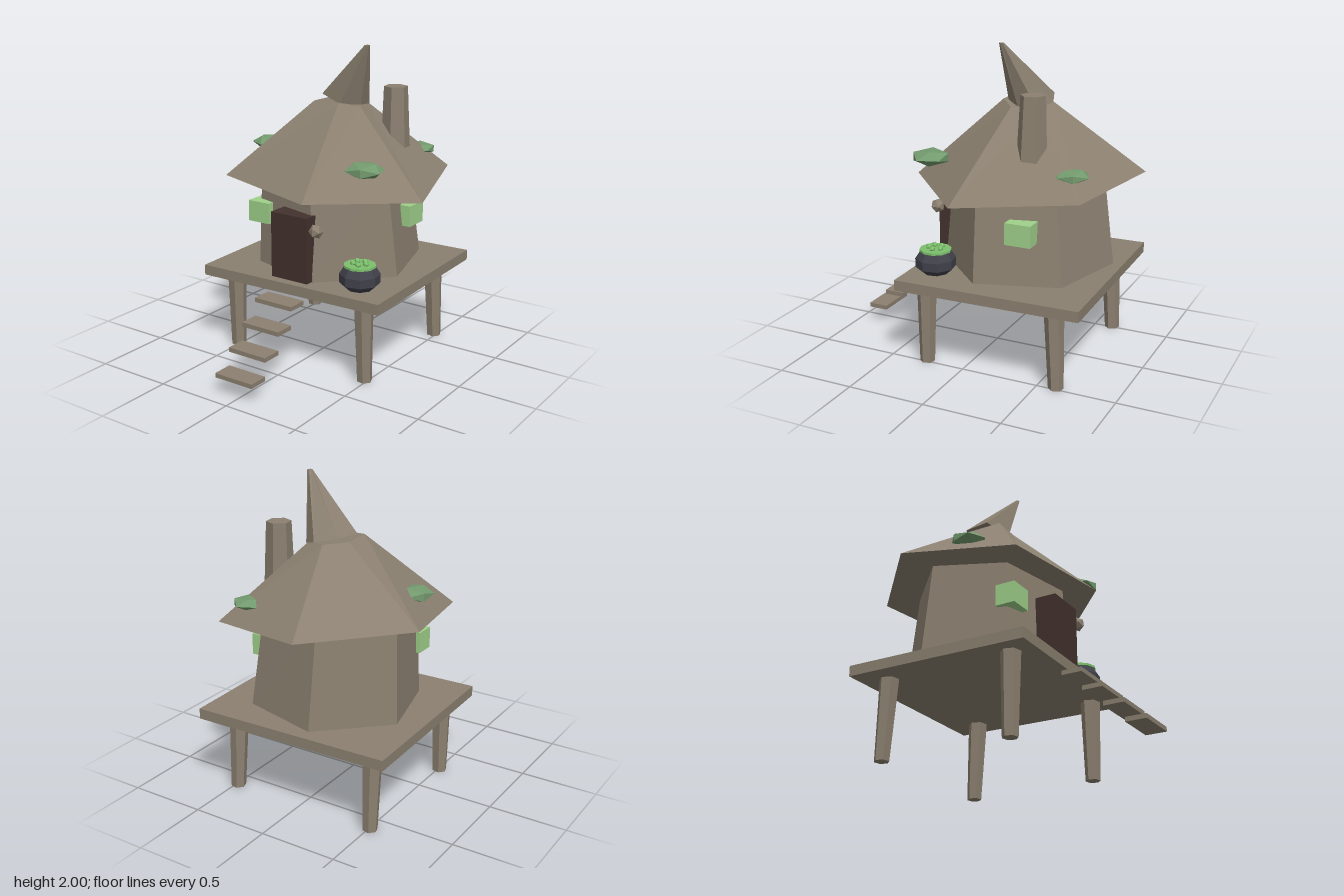
import * as THREE from 'three';

const mat = (name, color) => {
  const m = new THREE.MeshStandardMaterial({ color, flatShading: true });
  m.name = name;
  return m;
};

// Regular ring of points, clockwise from above; tilt raises y towards -z
function ring(cx, y, cz, r, turn = 0, sides = 6, tilt = 0) {
  const pts = [];
  for (let i = 0; i < sides; i++) {
    const a = turn + (i / sides) * Math.PI * 2;
    pts.push([cx + r * Math.cos(a), y - tilt * Math.sin(a), cz + r * Math.sin(a)]);
  }
  return pts;
}

// Faceted solid joining a stack of rings, closed at both ends
function loft(rings) {
  const out = [];
  const tri = (...ps) => ps.forEach((p) => out.push(...p));
  const n = rings[0].length;
  const centre = (r) => [0, 1, 2].map((k) => r.reduce((s, p) => s + p[k], 0) / n);
  const low = rings[0], high = rings[rings.length - 1];
  for (let i = 0; i < n; i++) {
    const j = (i + 1) % n;
    for (let k = 0; k < rings.length - 1; k++) {
      const b = rings[k], t = rings[k + 1];
      tri(b[i], t[i], b[j]);
      tri(t[i], t[j], b[j]);
    }
    tri(centre(low), low[i], low[j]);
    tri(centre(high), high[j], high[i]);
  }
  const g = new THREE.BufferGeometry();
  g.setAttribute('position', new THREE.Float32BufferAttribute(out, 3));
  g.computeVertexNormals();
  return g;
}

export function createModel() {
  const root = new THREE.Group();
  root.name = 'stiltHut';
  const wood = mat('weathered wood', 0x8b8070);
  const doorMat = mat('dark door wood', 0x43322d);
  const glow = mat('glowing window green', 0x9fd08a);
  const mossMat = mat('moss green', 0x739a6e);
  const iron = mat('cauldron iron', 0x40404a);
  const brewMat = mat('brew green', 0x7cc06c);

  const add = (name, geo, material, x = 0, y = 0, z = 0) => {
    const m = new THREE.Mesh(geo, material);
    m.name = name;
    m.position.set(x, y, z);
    root.add(m);
    return m;
  };
  const box = (name, material, x0, x1, y0, y1, z0, z1) =>
    add(name, new THREE.BoxGeometry(x1 - x0, y1 - y0, z1 - z0), material,
      (x0 + x1) / 2, (y0 + y1) / 2, (z0 + z1) / 2);

  // Platform, slightly crooked
  const deck = box('platform', wood, -0.663, 0.633, 0.508, 0.575, -0.783, 0.403);
  deck.rotation.set(0, 0.028, 0.004);

  // Stilts
  for (const [tx, bx] of [[-0.51, -0.51], [0.472, 0.482]]) {
    for (const [tz, bz] of [[0.258, 0.257], [-0.592, -0.617]]) {
      add('leg', loft([ring(bx, 0, bz, 0.047, 0.2), ring(tx, 0.52, tz, 0.062, 0.2)]), wood);
    }
  }

  // Floating steps
  for (let i = 0; i < 4; i++) {
    const y = 0.118 + i * 0.118, z = 0.845 - i * 0.13;
    box('step', wood, -0.155, 0.12, y - 0.014, y + 0.014, z - 0.065, z + 0.065);
  }

  // Six-sided walls leaning inwards
  const turn = Math.PI / 12;
  add('walls', loft([
    ring(-0.015, 0.585, -0.215, 0.535, turn, 6, 0.012),
    ring(-0.037, 1.25, -0.187, 0.475, turn),
  ]), wood);

  // Crooked roof skirt
  add('roof', loft([
    [[0.70, 1.105, -0.02], [0.17, 1.125, 0.475], [-0.54, 1.165, 0.31],
      [-0.70, 1.23, -0.41], [-0.18, 1.21, -0.91], [0.48, 1.16, -0.74]],
    [[0.16, 1.605, -0.165], [0.06, 1.63, -0.07], [-0.12, 1.63, -0.065],
      [-0.13, 1.625, -0.25], [-0.02, 1.62, -0.37], [0.11, 1.61, -0.32]],
  ]), wood);

  // Bent roof tip
  add('roofTip', loft([
    [[0.14, 1.61, -0.20], [0.05, 1.62, -0.10], [-0.125, 1.66, -0.16],
      [-0.105, 1.66, -0.335], [0.03, 1.63, -0.385], [0.13, 1.60, -0.32]],
    ring(0.225, 1.995, -0.135, 0.016, 0.3),
  ]), wood);

  // Chimney
  add('chimney', loft([
    ring(0.3, 1.28, -0.365, 0.095, 0.35), ring(0.293, 1.72, -0.368, 0.076, 0.35),
  ]), wood);

  // Door and knob
  box('door', doorMat, -0.15, 0.12, 0.58, 1.0, 0.2, 0.355);
  add('doorKnob', new THREE.IcosahedronGeometry(0.046, 0), wood, 0.175, 0.925, 0.335);

  // Windows
  box('frontWindow', glow, -0.425, -0.265, 0.865, 1.0, 0.1, 0.23);
  box('sideWindow', glow, 0.36, 0.472, 0.85, 0.985, -0.435, -0.27);

  // Moss clumps on the roof
  for (const [x, y, z, r, h, spin] of [
    [0.447, 1.322, 0.225, 0.125, 0.05, 0.3],
    [-0.475, 1.322, -0.07, 0.118, 0.047, 1.1],
    [0.325, 1.278, -0.63, 0.11, 0.04, 2],
  ]) {
    const m = add('moss', new THREE.IcosahedronGeometry(1, 0), mossMat, x, y, z);
    m.scale.set(r, h, r);
    m.rotation.y = spin;
  }

  // Cauldron with bubbling brew
  const cx = 0.418, cz = 0.222;
  const pot = [[0.58, 0.08], [0.62, 0.126], [0.675, 0.126], [0.722, 0.095]];
  add('cauldron', loft(pot.map(([y, r]) => ring(cx, y, cz, r, 0.2, 8))), iron);
  add('brew', new THREE.CylinderGeometry(0.1, 0.1, 0.014, 10), brewMat, cx, 0.727, cz);
  for (let i = 0; i < 5; i++) {
    const a = i * 1.257;
    add('bubble', new THREE.IcosahedronGeometry(0.02, 0), brewMat,
      cx + 0.042 * Math.cos(a), 0.742, cz + 0.042 * Math.sin(a));
  }
  return root;
}
